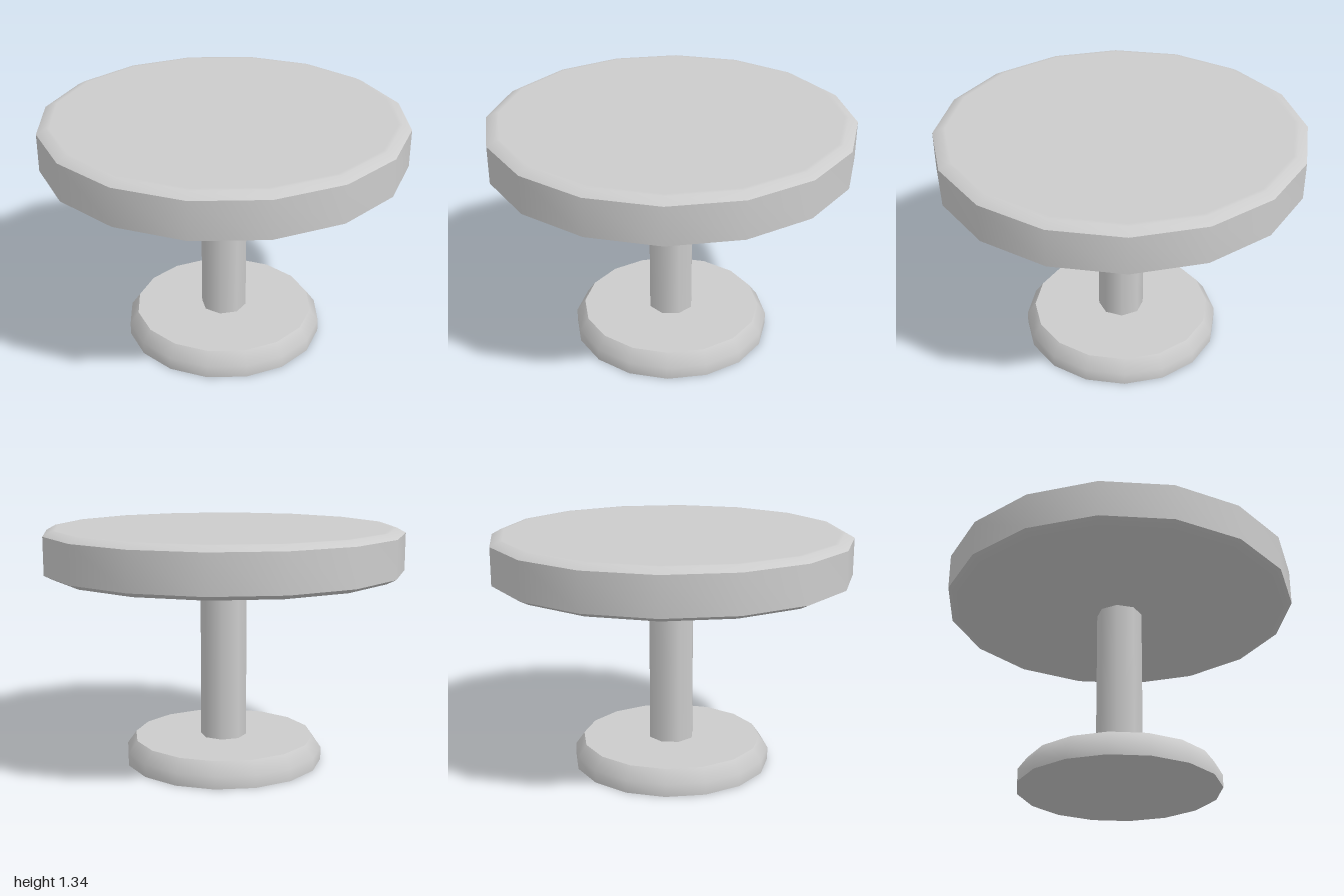
import * as THREE from 'three';
import { toCreasedNormals } from 'three/addons/utils/BufferGeometryUtils.js';

const grey = new THREE.MeshStandardMaterial({ color: 0xcccccc });
grey.name = 'plain grey';

// Sixteen-sided turned part from a profile running bottom to top
function turned(name, profile) {
  const points = profile.map(([r, y]) => new THREE.Vector2(r, y));
  const geometry = toCreasedNormals(new THREE.LatheGeometry(points, 16), THREE.MathUtils.degToRad(45));
  const mesh = new THREE.Mesh(geometry, grey);
  mesh.name = name;
  return mesh;
}

export function createModel() {
  const table = new THREE.Group();
  table.name = 'roundTable';

  // Flat foot with a bevelled upper rim
  table.add(turned('foot', [[0, 0], [0.56, 0], [0.56, 0.07], [0.51, 0.14], [0, 0.14]]));

  // Octagonal post, smooth shaded
  const post = new THREE.Mesh(new THREE.CylinderGeometry(0.13, 0.13, 0.955, 8, 1, true), grey);
  post.position.y = 0.6075;
  post.name = 'post';
  table.add(post);

  // Thick top; the extra rings keep both faces flat up to the soft bevels
  table.add(turned('tableTop', [
    [0, 1.075], [0.93, 1.075], [0.95, 1.075], [1, 1.1],
    [1, 1.307], [0.95, 1.335], [0.93, 1.335], [0, 1.335],
  ]));

  return table;
}
